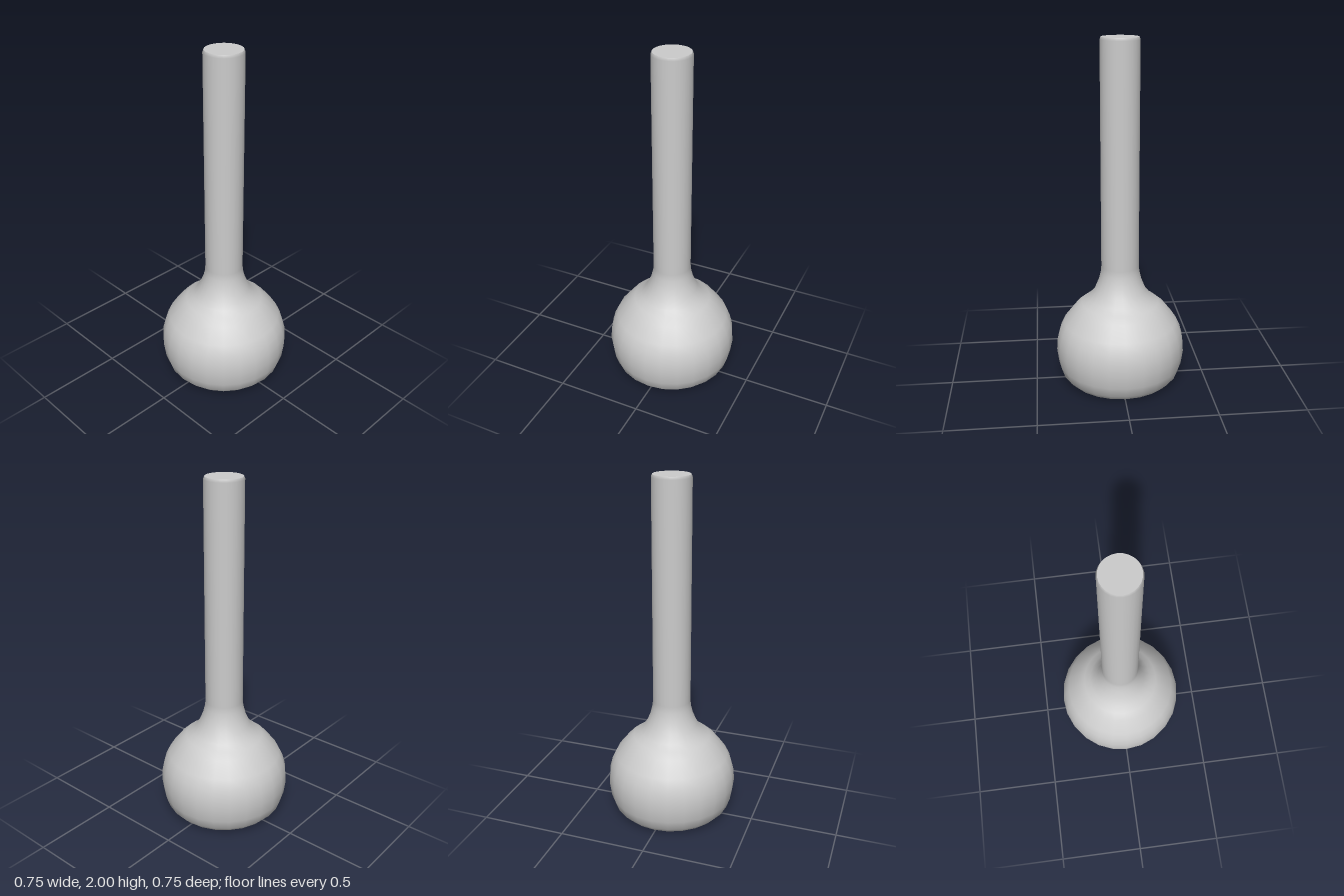
import * as THREE from 'three';

const SIDES = 24;

export function createModel() {
  const model = new THREE.Group();
  const material = new THREE.MeshStandardMaterial({ color: 0xcccccc });

  const add = (name, geometry) => {
    const mesh = new THREE.Mesh(geometry, material);
    mesh.name = name;
    model.add(mesh);
    return mesh;
  };
  const disc = (name, radius, y, turn) => {
    const mesh = add(name, new THREE.CircleGeometry(radius, SIDES));
    mesh.rotation.x = turn;
    mesh.position.y = y;
  };

  // Round bulb flowing through a flared shoulder into a straight neck
  const profile = [
    [0.272, 0], [0.312, 0.015], [0.345, 0.05], [0.365, 0.11], [0.376, 0.19],
    [0.371, 0.26], [0.356, 0.315], [0.33, 0.37], [0.265, 0.453],
    [0.225, 0.486], [0.187, 0.513], [0.15, 0.56], [0.125, 0.621],
    [0.113, 0.67], [0.109, 0.71], [0.109, 1.985], [0.103, 2],
  ].map(([r, y]) => new THREE.Vector2(r, y));
  add('bulbAndNeck', new THREE.LatheGeometry(profile, SIDES));

  // Flat ends
  disc('neckTop', 0.103, 2, -Math.PI / 2);
  disc('base', 0.272, 0, Math.PI / 2);

  return model;
}
